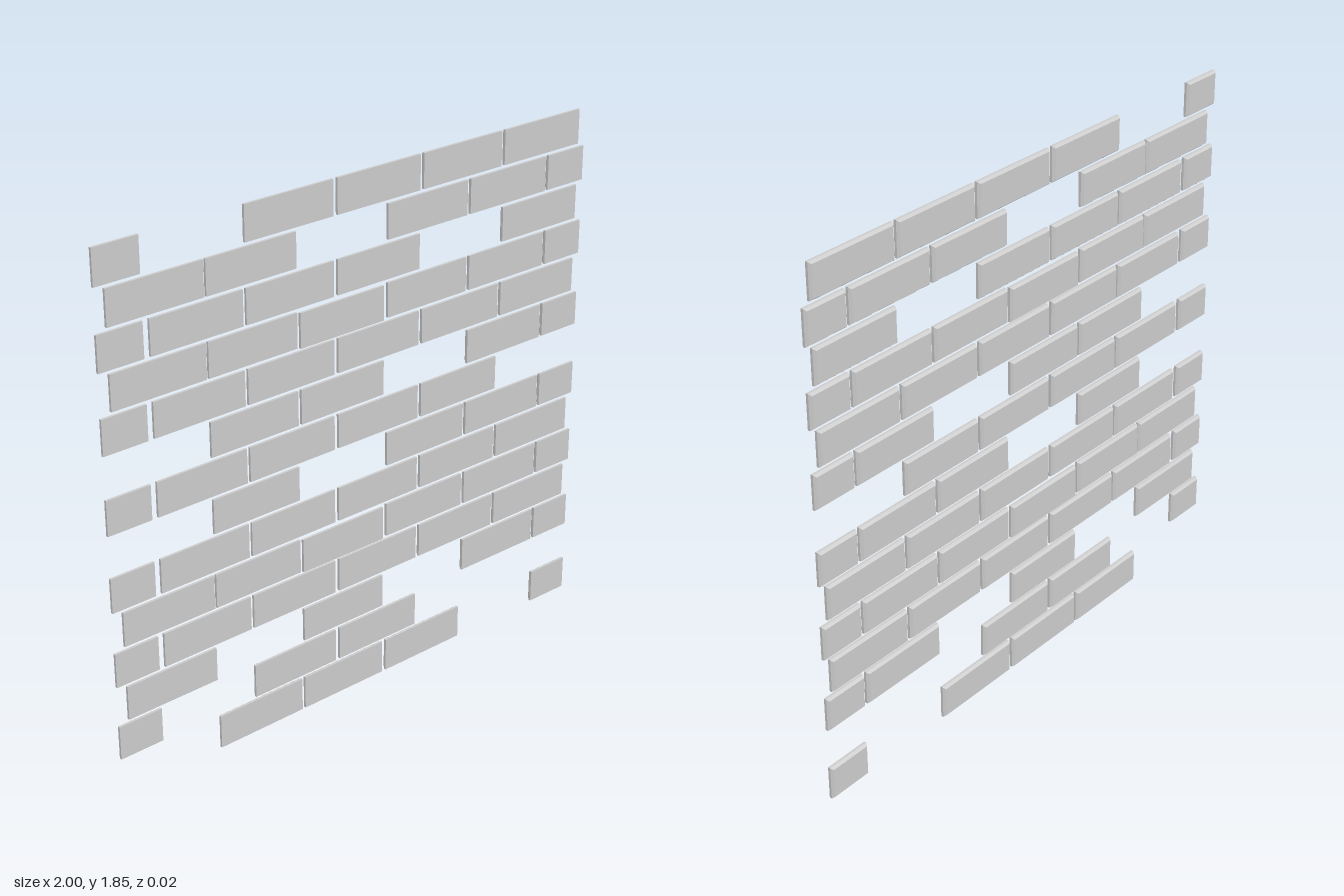
import * as THREE from 'three';

const HEIGHT = 0.12, PITCH = 0.133, DEPTH = 0.018, BEVEL = 0.007;

// [left, right] extents of the bricks in the two alternating courses
const courseA = [[-0.962, -0.613], [-0.605, -0.26], [-0.247, 0.099], [0.116, 0.461], [0.475, 0.82], [0.833, 1]];
const courseB = [[-1, -0.837], [-0.814, -0.469], [-0.457, -0.111], [-0.094, 0.251], [0.266, 0.611], [0.625, 0.973]];

// Courses from the ground up: x is a brick, a dot is a gap
const rows = [
  '.xxx.x', 'x.xx..', 'x.x.xx', 'xxxxxx', 'xxxxxx', 'xxxxxx', '.x.xxx',
  'xxxxx.', '.xx.xx', 'xxxxxx', 'xxxxxx', 'xxxx.x', 'xx.xxx', 'x.xxxx',
];

// Thin slab whose back rim is slightly chamfered
function brickGeometry(width) {
  const box = new THREE.BoxGeometry(width, HEIGHT, DEPTH, 1, 1, 2);
  const p = box.attributes.position;
  for (let i = 0; i < p.count; i++) {
    if (p.getZ(i) > -DEPTH / 4) continue;
    p.setX(i, p.getX(i) - Math.sign(p.getX(i)) * BEVEL);
    p.setY(i, p.getY(i) - Math.sign(p.getY(i)) * BEVEL);
  }
  const geometry = box.toNonIndexed();
  geometry.computeVertexNormals();
  return geometry;
}

export function createModel() {
  const wall = new THREE.Group();
  wall.name = 'brickWall';
  const material = new THREE.MeshStandardMaterial({ color: 0xcccccc, flatShading: true });

  rows.forEach((pattern, r) => {
    const course = new THREE.Group();
    course.name = `course${r + 1}`;
    (r % 2 ? courseB : courseA).forEach(([left, right], i) => {
      if (pattern[i] !== 'x') return;
      const brick = new THREE.Mesh(brickGeometry(right - left), material);
      brick.name = right - left < 0.2 ? 'halfBrick' : 'brick';
      // Two bricks have settled a little
      const sag = (r === 4 || r === 10) && i === 2 ? 0.005 : 0;
      brick.position.set((left + right) / 2, HEIGHT / 2 + r * PITCH - sag, 0);
      course.add(brick);
    });
    wall.add(course);
  });
  return wall;
}
